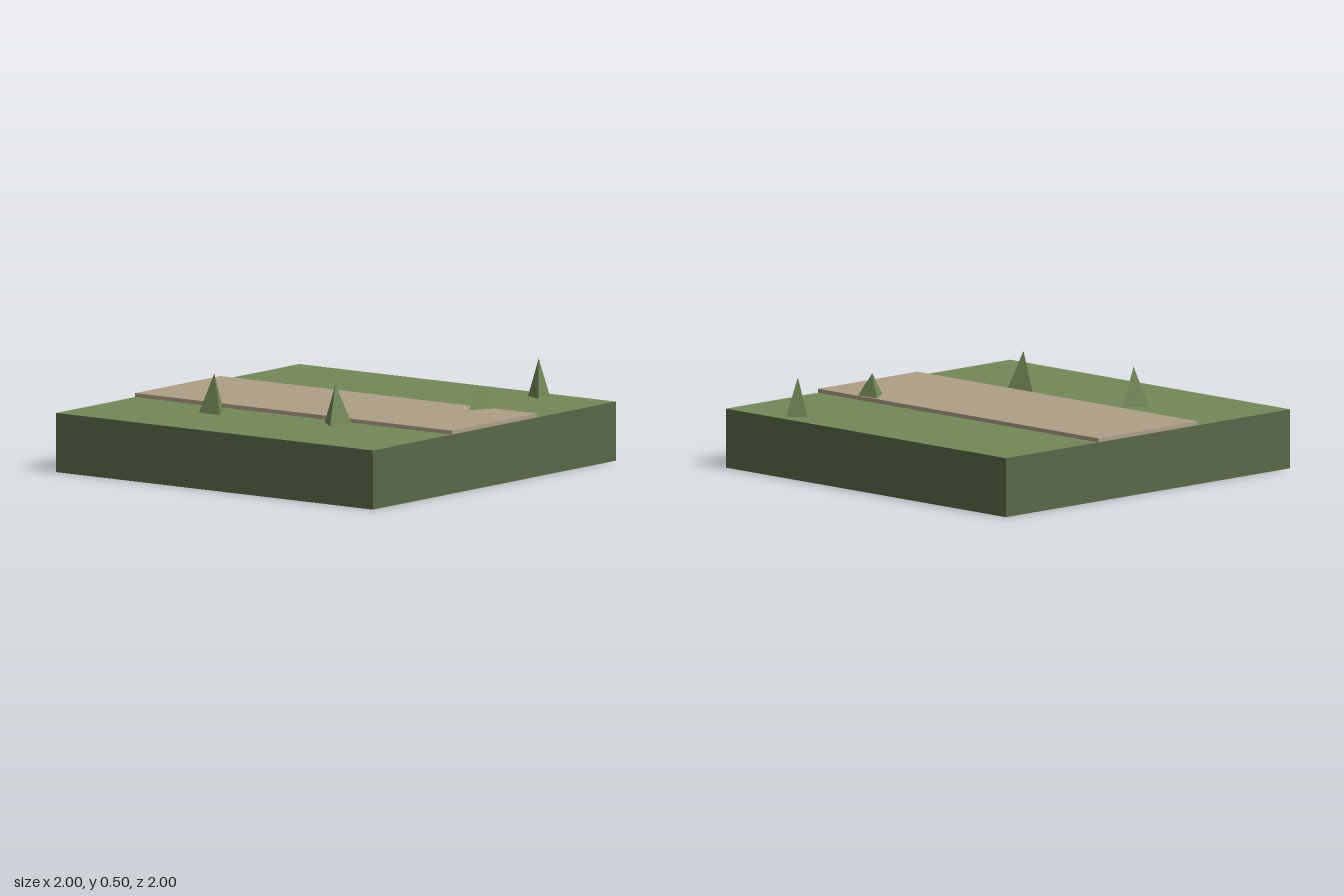
import * as THREE from 'three';

export function createModel() {
  const model = new THREE.Group();
  model.name = 'groundTile';

  const grass = new THREE.MeshStandardMaterial({ color: 0x728858, flatShading: true, side: THREE.DoubleSide });
  grass.name = 'grass green';
  const earth = new THREE.MeshStandardMaterial({ color: 0x5a6848, flatShading: true, side: THREE.DoubleSide });
  earth.name = 'dark green';
  const dirt = new THREE.MeshStandardMaterial({ color: 0xae9f86, flatShading: true });
  dirt.name = 'path tan';

  const add = (name, geometry, material) => {
    const mesh = new THREE.Mesh(geometry, material);
    mesh.name = name;
    model.add(mesh);
    return mesh;
  };

  const groundY = 0.3;
  const pathY = 0.32;

  // Ground: a top sheet and four walls, open underneath
  add('grassTop', new THREE.PlaneGeometry(2, 2).rotateX(-Math.PI / 2), grass).position.y = groundY;
  ['frontWall', 'leftWall', 'backWall', 'rightWall'].forEach((name, i) => {
    const wall = new THREE.PlaneGeometry(2, groundY).translate(0, groundY / 2, 1);
    add(name, wall.rotateY(i * Math.PI / 2), earth);
  });

  // Raised path running front to back
  add('path', new THREE.BoxGeometry(0.7, pathY - groundY, 2), dirt)
    .position.y = (groundY + pathY) / 2;

  // Three-sided grass tufts: centre x, z, base y, tip y, radius, direction of one corner (x, z)
  const tufts = [
    [-0.516, -0.373, groundY, 0.5, 0.077, 1, 0],
    [-0.435, 0.331, groundY, 0.5, 0.083, 0.2, -1],
    [0.3, 0.664, pathY, 0.435, 0.074, -1, 0.03],
    [0.887, 0.6, groundY, 0.495, 0.063, -0.11, -1],
  ];
  for (const [x, z, base, tip, radius, dx, dz] of tufts) {
    const cone = new THREE.ConeGeometry(radius, tip - base, 3).translate(0, (tip - base) / 2, 0);
    const tuft = add('grassTuft', cone, grass);
    tuft.position.set(x, base, z);
    tuft.rotation.y = Math.atan2(dx, dz);
  }

  return model;
}
